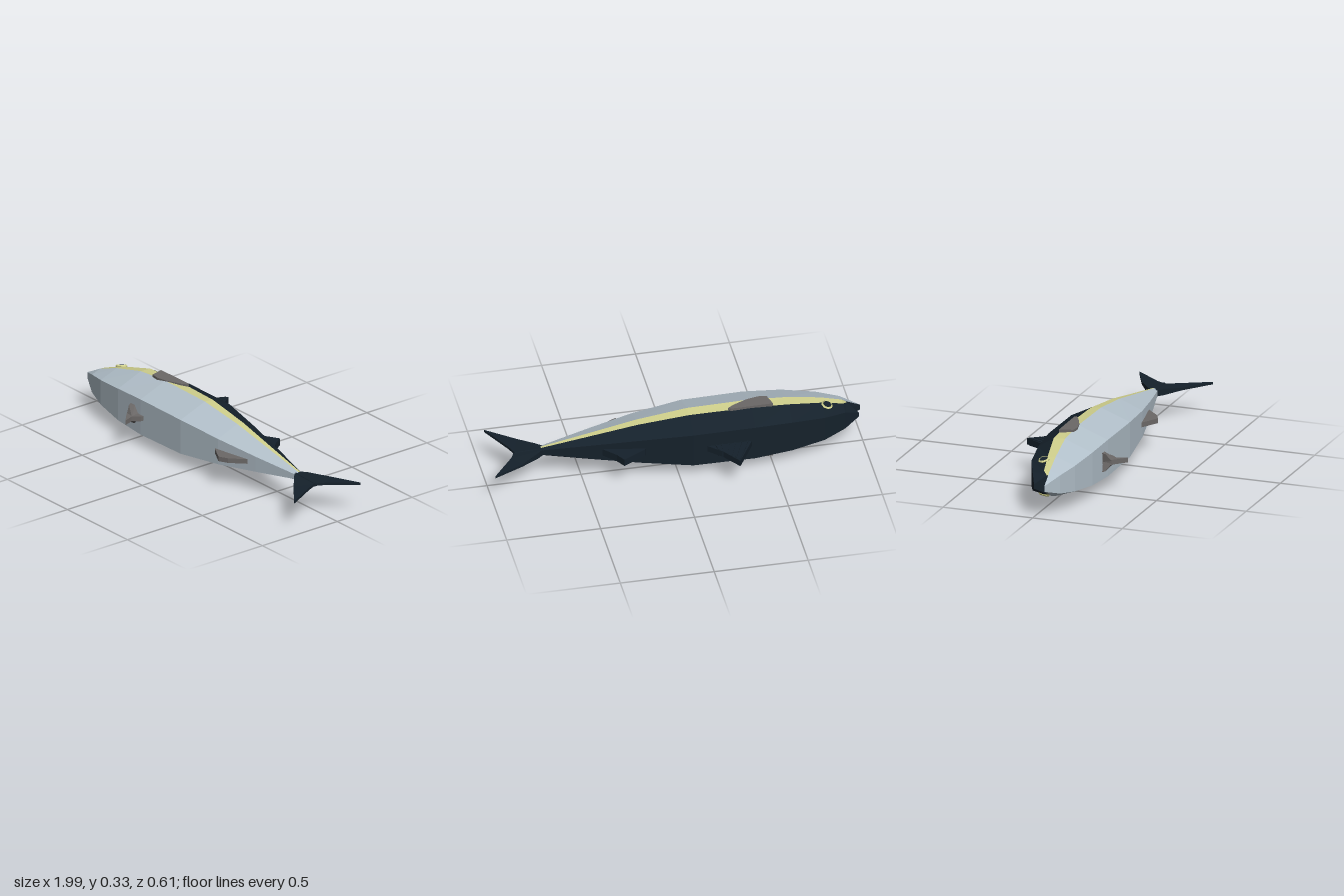
import * as THREE from 'three';
import { ConvexGeometry } from 'three/addons/geometries/ConvexGeometry.js';

const MID = 0.167; // height of the fish's plane of symmetry as it lies on its side

const mat = (color) => new THREE.MeshStandardMaterial({ color, flatShading: true, side: THREE.DoubleSide });

export function createModel() {
  const group = new THREE.Group();
  const dark = mat(0x15212b), silver = mat(0xb2c0ca), yellow = mat(0xd0d08c), grey = mat(0x6b6867);

  const add = (name, geometry, material) => {
    const mesh = new THREE.Mesh(geometry, material);
    mesh.name = name;
    group.add(mesh);
    return mesh;
  };

  // Body stations from nose to tail; four guide edges give z and half width
  const xs = [null, -0.9, -0.78, -0.6, -0.4, -0.07, 0.2, 0.45, 0.71];
  const edges = {
    back: { nose: -0.98, z: [0, -0.038, -0.09, -0.122, -0.14, -0.14, -0.095, -0.048, 0.005],
      w: [0.012, 0.05, 0.07, 0.088, 0.097, 0.095, 0.07, 0.043, 0.013] },
    upper: { nose: -0.925, z: [0.05, 0.025, 0, -0.035, -0.036, -0.03, -0.015, 0, 0.015],
      w: [0.05, 0.065, 0.105, 0.145, 0.155, 0.15, 0.117, 0.07, 0.022] },
    lower: { nose: -0.92, z: [0.06, 0.057, 0.045, 0.028, 0.026, 0.026, 0.026, 0.026, 0.026],
      w: [0.052, 0.068, 0.108, 0.148, 0.162, 0.157, 0.122, 0.073, 0.023] },
    belly: { nose: -1, z: [0.065, 0.115, 0.152, 0.18, 0.19, 0.188, 0.155, 0.105, 0.045],
      w: [0.015, 0.05, 0.07, 0.09, 0.1, 0.096, 0.072, 0.043, 0.013] },
  };
  const point = ([edge, side], i) => {
    const e = edges[edge];
    return [i ? xs[i] : e.nose, MID + side * e.w[i], e.z[i]];
  };

  const triangles = (list) => {
    const g = new THREE.BufferGeometry();
    g.setAttribute('position', new THREE.Float32BufferAttribute(list.flat(), 3));
    g.computeVertexNormals();
    return g;
  };

  // One colour band lofted between neighbouring guide edges
  const band = (name, path, material) => {
    const t = [];
    for (let i = 0; i < xs.length - 1; i++) {
      for (let j = 0; j < path.length - 1; j++) {
        const a = point(path[j], i), b = point(path[j + 1], i);
        const c = point(path[j], i + 1), d = point(path[j + 1], i + 1);
        t.push(a, b, c, b, d, c);
      }
    }
    add(name, triangles(t), material);
  };
  band('back', [['upper', -1], ['back', -1], ['back', 1], ['upper', 1]], dark);
  band('leftStripe', [['upper', 1], ['lower', 1]], yellow);
  band('rightStripe', [['lower', -1], ['upper', -1]], yellow);
  band('belly', [['lower', 1], ['belly', 1], ['belly', -1], ['lower', -1]], silver);

  // Mouth recess closing the nose end
  const ring = [['back', 1], ['upper', 1], ['lower', 1], ['belly', 1],
    ['belly', -1], ['lower', -1], ['upper', -1], ['back', -1]].map((p) => point(p, 0));
  add('mouth', triangles(ring.flatMap((p, i) => [[-0.92, MID, 0.055], ring[(i + 1) % 8], p])), dark);

  // Flat fin from an x/z outline; an optional rule scales thickness along x and z
  const fin = (name, outline, thickness, material, y = MID, taper = null) => {
    const shape = new THREE.Shape(outline.map(([x, z]) => new THREE.Vector2(x, z)));
    const g = new THREE.ExtrudeGeometry(shape, { depth: thickness, bevelEnabled: false });
    g.translate(0, 0, -thickness / 2).rotateX(Math.PI / 2);
    const p = g.attributes.position;
    if (taper) for (let i = 0; i < p.count; i++) p.setY(i, p.getY(i) * taper(p.getX(i), p.getZ(i)));
    g.translate(0, y, 0);
    g.computeVertexNormals();
    return add(name, g, material);
  };

  fin('firstDorsalFin', [[-0.39, -0.12], [-0.375, -0.15], [-0.285, -0.305], [-0.215, -0.205], [-0.14, -0.135], [-0.14, -0.12]],
    0.034, dark);
  fin('secondDorsalFin', [[0.17, -0.08], [0.18, -0.105], [0.305, -0.175], [0.335, -0.125], [0.4, -0.056], [0.38, -0.045]],
    0.04, dark);
  fin('analFin', [[0.17, 0.14], [0.18, 0.16], [0.275, 0.212], [0.325, 0.187], [0.4, 0.112], [0.38, 0.1]], 0.026, grey);

  // Raised rays fanning across the first dorsal fin
  for (let i = 0; i < 6; i++) {
    const t = i / 5;
    const a = new THREE.Vector2(-0.36 + 0.17 * t, -0.135);
    const b = new THREE.Vector2(-0.287 + 0.09 * t, -0.29 + 0.105 * t);
    const ray = add('dorsalRay', new THREE.BoxGeometry(a.distanceTo(b), 0.042, 0.008), dark);
    ray.position.set((a.x + b.x) / 2, MID, (a.y + b.y) / 2);
    ray.rotation.y = -Math.atan2(b.y - a.y, b.x - a.x);
  }

  // Tail fin, thick at the root and thin at the tips
  fin('tailFin', [[0.7, 0.005], [0.73, -0.02], [0.83, -0.09], [0.99, -0.165], [0.875, -0.02], [0.85, 0.03],
    [0.87, 0.08], [0.963, 0.257], [0.81, 0.14], [0.73, 0.07], [0.7, 0.045]], 0.034, dark, MID,
  (x) => (x < 0.8 ? 1 : 0.4));
  const root = add('tailRoot', new THREE.CylinderGeometry(0.012, 0.023, 0.15, 6), dark);
  root.rotation.z = -Math.PI / 2;
  root.position.set(0.775, MID, 0.027);

  // Pelvic fin blade
  fin('pelvicFin', [[-0.47, 0.18], [-0.375, 0.18], [-0.38, 0.205], [-0.41, 0.242], [-0.39, 0.3], [-0.46, 0.235]],
    0.026, grey);

  for (const side of [1, -1]) {
    const label = side > 0 ? 'upperSide' : 'lowerSide';

    // Flared pelvic wing
    const wing = [[-0.482, 0.052, 0.19], [-0.45, 0.052, 0.19], [-0.42, 0.012, 0.19], [-0.47, 0.0, 0.19],
      [-0.41, 0.008, 0.24], [-0.46, 0.008, 0.235], [-0.478, 0.048, 0.205]];
    add(label + 'PelvicWing',
      new ConvexGeometry(wing.map(([x, y, z]) => new THREE.Vector3(x, MID + side * y, z))), grey);

    // Pectoral fin lying against the flank
    fin(label + 'PectoralFin', [[-0.515, -0.038], [-0.29, -0.04], [-0.275, -0.032], [-0.31, -0.008], [-0.39, 0.028],
      [-0.45, 0.04], [-0.495, 0.034]], 0.03, grey, MID + side * 0.151);

    // Eye: yellow ring around a dark pupil
    const eye = new THREE.Group();
    eye.name = label + 'Eye';
    const iris = new THREE.Mesh(new THREE.TorusGeometry(0.025, 0.007, 4, 8), yellow);
    iris.name = 'iris';
    iris.rotation.x = Math.PI / 2;
    const pupil = new THREE.Mesh(new THREE.CylinderGeometry(0.023, 0.023, 0.01, 8), dark);
    pupil.name = 'pupil';
    eye.add(iris, pupil);
    eye.position.set(-0.808, MID + side * 0.095, -0.01);
    eye.rotation.set(-side * 0.2, 0, side * 0.25);
    group.add(eye);
  }

  return group;
}
